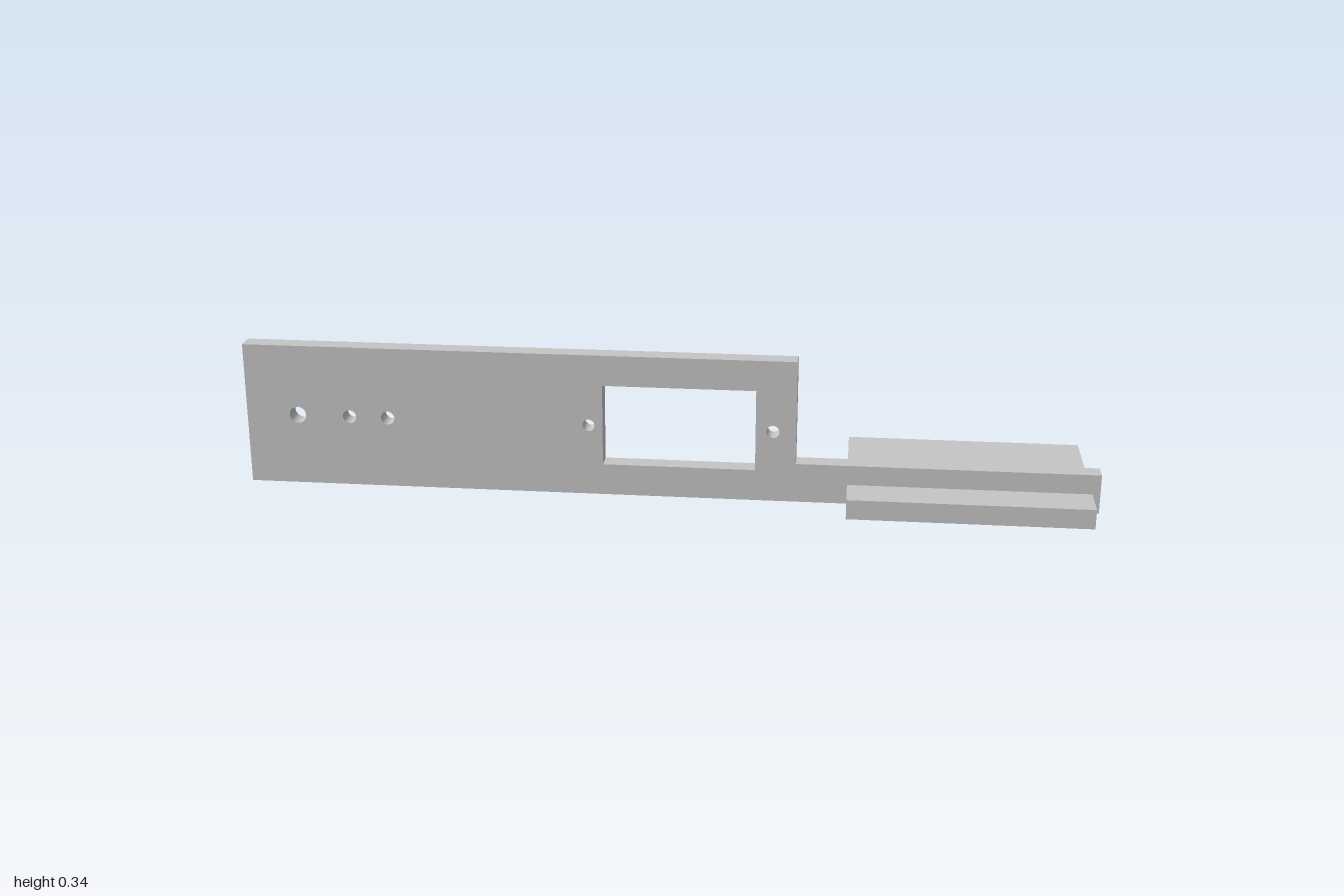
import * as THREE from 'three';

export function createModel() {
  const group = new THREE.Group();
  const grey = new THREE.MeshStandardMaterial({ color: 0xc5c5c5 });
  grey.name = 'light grey';

  // Upright panel: tall section stepping down to a low rail
  const outline = new THREE.Shape([
    [-1, 0], [1, 0], [1, 0.094], [0.302, 0.094], [0.302, 0.342], [-1, 0.342],
  ].map(([x, y]) => new THREE.Vector2(x, y)));

  // Rectangular window
  outline.holes.push(new THREE.Path([
    [-0.149, 0.075], [-0.149, 0.269], [0.208, 0.269], [0.208, 0.075],
  ].map(([x, y]) => new THREE.Vector2(x, y))));

  // Round holes along the middle line: x, radius
  for (const [x, r] of [[-0.877, 0.02], [-0.752, 0.016], [-0.66, 0.016], [-0.182, 0.014], [0.248, 0.015]]) {
    outline.holes.push(new THREE.Path().absarc(x, 0.171, r, 0, Math.PI * 2, true));
  }

  const panel = new THREE.Mesh(
    new THREE.ExtrudeGeometry(outline, { depth: 0.045, bevelEnabled: false, curveSegments: 24 }),
    grey
  );
  panel.name = 'panel';
  panel.position.z = 0.07;
  group.add(panel);

  // Flat foot under the low rail
  const foot = new THREE.Mesh(new THREE.BoxGeometry(0.56, 0.047, 0.418), grey);
  foot.name = 'foot';
  foot.position.set(0.702, 0.0235, 0);
  group.add(foot);

  return group;
}
